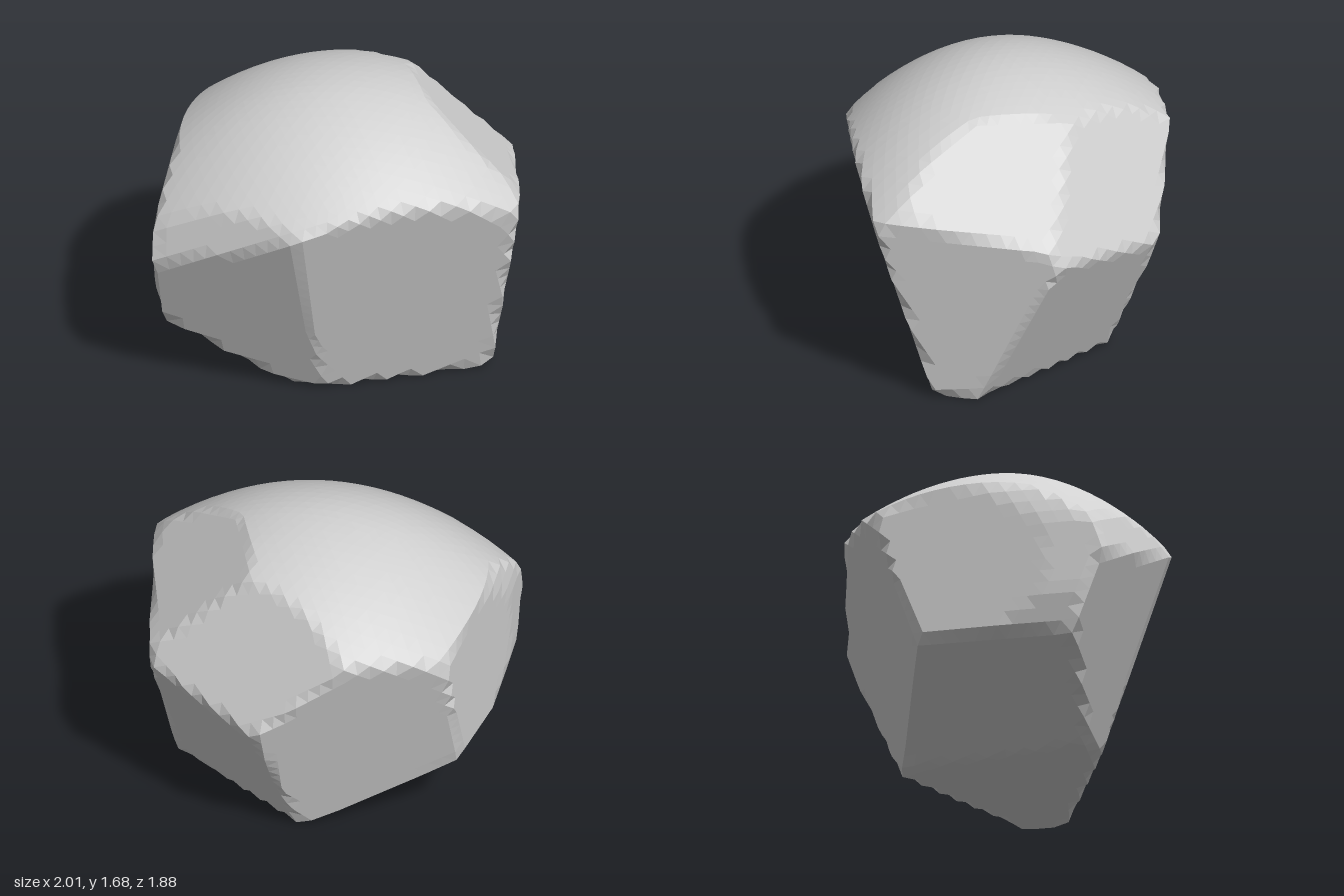
import * as THREE from 'three';

// Chipped faces: [nx, ny, nz, d], keeping everything where n . p <= d
const CUTS = [
  [0, -1, 0, 0],                   // flat base
  [0.41, -0.33, 1, 0.485],         // front
  [-0.128, -0.341, 0.9025, 0.47],  // front, -x half
  [-0.35, 0.25, 0.9, 1.18],        // soft bevel above it
  [1, -0.13, -0.15, 0.803],        // +x side
  [0.336, 0.373, -0.143, 0.748],   // upper +x bevel
  [0.21, 0.28, -0.495, 0.737],     // upper back bevel
  [0.39, -0.33, -0.58, 0.355],     // lower back, +x half
  [-0.4, -0.28, -0.9, 0.57],       // back, -x half
  [-1, 0, -0.15, 0.945],           // -x side, towards the back
  [-1, 0, 0, 1],                   // -x side, towards the front
  [-1, -0.25, 0, 0.85],            // -x side, lower rounding
  [-1, 0.24, 0, 1.252],            // -x side, upper rounding
  [-0.48, -0.88, -0.08, 0.09],     // undercut on -x
];
const CENTRE = new THREE.Vector3(0, 0.8, 0);
const TOP = 1.68;

// Distance from the centre to the rock surface along a direction
function reach(dir) {
  // Shallow domed top, steeper at the front
  const curve = 0.41 * dir.x ** 2 + (dir.z > 0 ? 0.59 : 0.42) * dir.z ** 2;
  const rise = TOP - CENTRE.y;
  let r = (2 * rise) / (dir.y + Math.sqrt(dir.y ** 2 + 4 * curve * rise));
  const n = new THREE.Vector3();
  for (const [x, y, z, d] of CUTS) {
    n.set(x, y, z);
    const along = n.dot(dir);
    if (along > 1e-6) r = Math.min(r, (d - n.dot(CENTRE)) / along);
  }
  return r;
}

export function createModel() {
  const stone = new THREE.MeshStandardMaterial({ color: 0xd0d0d0, flatShading: true });
  stone.name = 'pale stone';

  // Faceted ball pushed out to the dome and the chipped faces
  const geometry = new THREE.IcosahedronGeometry(1, 14);
  const pos = geometry.attributes.position;
  const p = new THREE.Vector3();
  for (let i = 0; i < pos.count; i++) {
    p.fromBufferAttribute(pos, i).normalize();
    p.multiplyScalar(reach(p)).add(CENTRE);
    pos.setXYZ(i, p.x, p.y, p.z);
  }
  geometry.computeVertexNormals();

  const rock = new THREE.Mesh(geometry, stone);
  rock.name = 'boulder';
  const group = new THREE.Group();
  group.name = 'rock';
  group.add(rock);
  return group;
}
